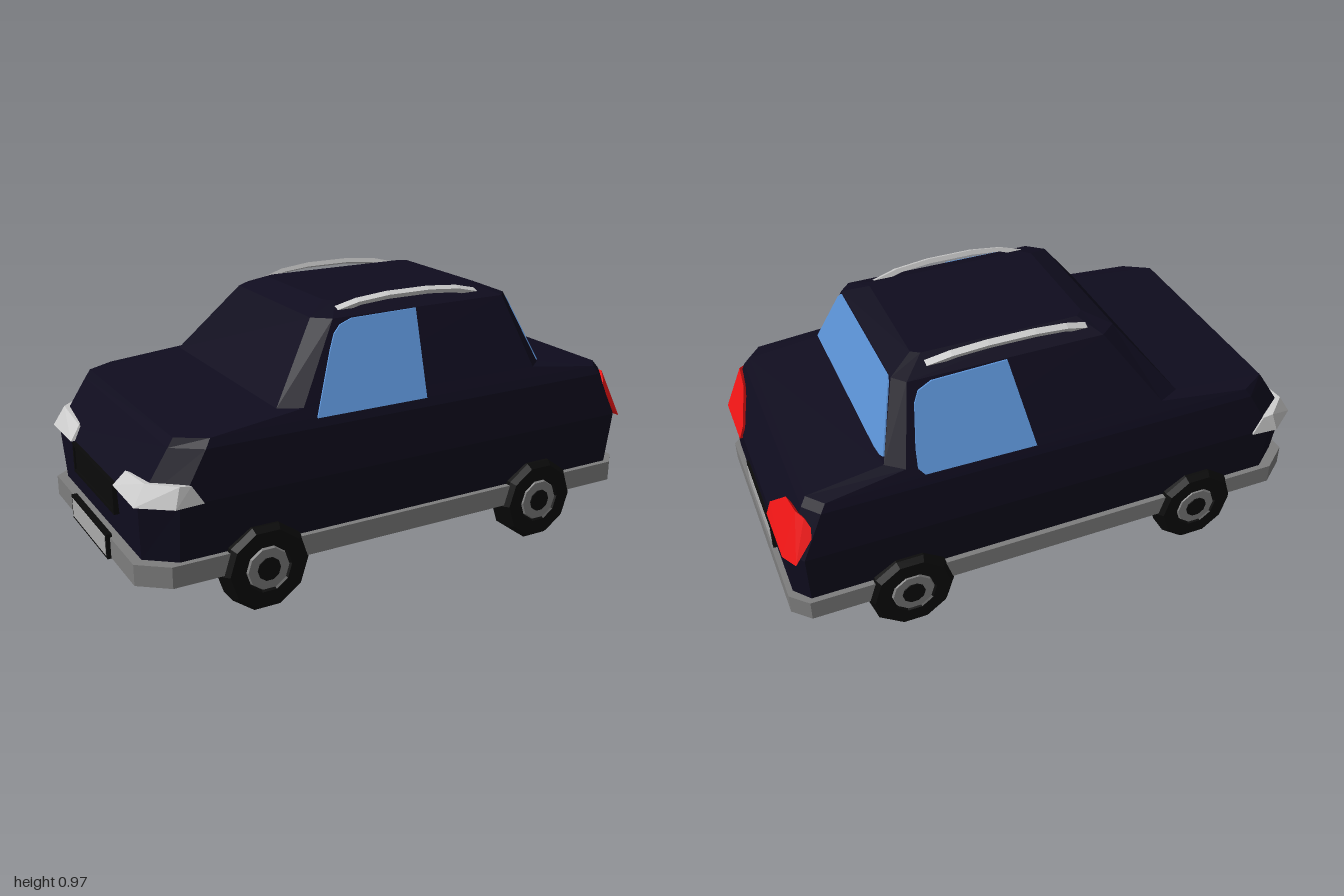
import * as THREE from 'three';
import { ConvexGeometry } from 'three/addons/geometries/ConvexGeometry.js';

const paint = (color) => new THREE.MeshStandardMaterial({ color, flatShading: true });
const NAVY = paint(0x0f0c1e), TRIM = paint(0x7d7d7d), LIGHT = paint(0xcccccc), PLATE = paint(0xaaaaaa);
const BLACK = paint(0x0a0a0a), GLASS = paint(0x5b92d5), RED = paint(0xee1515);

function mesh(name, geometry, material) {
  const m = new THREE.Mesh(geometry, material);
  m.name = name;
  return m;
}

// Stack of horizontal eight-sided sections with cut corners, capped at both ends.
// Section: [y, front x, rear x, half width, front cut x, front cut z, rear cut x, rear cut z]
function loft(sections) {
  const pos = [], index = [], n = 8;
  for (const [y, f, r, w, fx, fz, rx, rz] of sections) {
    const plan = [[r, w - rz], [r, rz - w], [r - rx, -w], [f + fx, -w],
      [f, fz - w], [f, w - fz], [f + fx, w], [r - rx, w]];
    for (const [x, z] of plan) pos.push(x, y, z);
  }
  const last = (sections.length - 1) * n;
  for (let s = 0; s < last; s += n) {
    for (let i = 0; i < n; i++) {
      const a = s + i, b = s + (i + 1) % n;
      index.push(a, b, b + n, a, b + n, a + n);
    }
  }
  for (let i = 1; i < n - 1; i++) index.push(0, i + 1, i, last, last + i, last + i + 1);
  const g = new THREE.BufferGeometry();
  g.setAttribute('position', new THREE.Float32BufferAttribute(pos, 3));
  g.setIndex(index);
  const flat = g.toNonIndexed();
  flat.computeVertexNormals();
  return flat;
}

// Convex solid spanned by a list of corners; side mirrors it in z
const solid = (points, side = 1) =>
  new ConvexGeometry(points.map(([x, y, z]) => new THREE.Vector3(x, y, z * side)));

// Thin pane: outer corners plus the same corners pushed inwards
const pane = (points, dx, dz, side) =>
  solid([...points, ...points.map(([x, y, z]) => [x + dx, y, z + dz])], side);

const box = (w, h, d, x, y, z) => new THREE.BoxGeometry(w, h, d).translate(x, y, z);

function wheel() {
  const g = new THREE.Group();
  g.name = 'wheel';
  const turn = (geo) => geo.rotateY(Math.PI / 10).rotateX(Math.PI / 2);
  const profile = [[0, -0.05], [0.14, -0.05], [0.157, -0.035], [0.157, 0.035], [0.14, 0.055],
    [0.085, 0.055], [0.078, 0.042], [0, 0.042]].map(([r, y]) => new THREE.Vector2(r, y));
  g.add(mesh('tyre', turn(new THREE.LatheGeometry(profile, 10)), BLACK));
  g.add(mesh('rim', turn(new THREE.CylinderGeometry(0.075, 0.082, 0.02, 10).translate(0, 0.044, 0)), TRIM));
  g.add(mesh('hubCap', turn(new THREE.CylinderGeometry(0.042, 0.042, 0.02, 10).translate(0, 0.048, 0)), BLACK));
  return g;
}

function roofRail() {
  const s = new THREE.Shape();
  const outer = [[-0.17, 0], [-0.09, 0.024], [0.03, 0.037], [0.2, 0.037], [0.33, 0.024], [0.42, 0]];
  const inner = [[0.35, 0], [0.31, 0.01], [0.2, 0.02], [0.03, 0.02], [-0.08, 0.01], [-0.11, 0]];
  [...outer, ...inner].forEach(([x, y], i) => (i ? s.lineTo(x, y) : s.moveTo(x, y)));
  const g = new THREE.ExtrudeGeometry(s, { depth: 0.025, bevelEnabled: false });
  return g.translate(0, 0, -0.0125).rotateX(0.4);
}

export function createModel() {
  const car = new THREE.Group();
  car.name = 'car';

  // Painted shell: lower body, hood and trunk, then cabin and roof
  car.add(mesh('body', loft([
    [0.155, -0.94, 0.975, 0.475, 0.1, 0.08, 0.05, 0.06],
    [0.23, -0.95, 0.978, 0.482, 0.1, 0.08, 0.05, 0.06],
    [0.43, -0.96, 0.985, 0.505, 0.11, 0.08, 0.05, 0.06],
    [0.6, -0.85, 0.91, 0.492, 0.1, 0.07, 0.05, 0.06],
    [0.63, -0.83, 0.89, 0.48, 0.1, 0.06, 0.05, 0.06],
    [0.665, -0.47, 0.62, 0.462, 0.08, 0.04, 0.06, 0.05],
    [0.915, -0.27, 0.54, 0.335, 0.06, 0.05, 0.04, 0.045],
    [0.952, -0.18, 0.45, 0.245, 0.03, 0.03, 0.03, 0.02],
  ]), NAVY));

  // Bumper band running all around
  car.add(mesh('bumperBand', loft([
    [0.155, -0.985, 0.998, 0.503, 0.1, 0.08, 0.06, 0.06],
    [0.23, -0.985, 0.998, 0.503, 0.1, 0.08, 0.06, 0.06],
  ]), TRIM));
  car.add(mesh('underside', box(1.7, 0.02, 0.85, 0, 0.158, 0), BLACK));

  // Side windows, following the lean of the cabin
  const lean = (pts) => pts.map(([x, y]) => [x, y, 0.462 - (y - 0.665) * 0.508 + 0.006]);
  car.add(mesh('leftWindow', pane(lean([[-0.35, 0.63], [-0.25, 0.82], [-0.22, 0.87], [-0.19, 0.895],
    [-0.14, 0.91], [0.12, 0.914], [0.08, 0.63]]), 0, -0.02, 1), GLASS));
  car.add(mesh('rightWindow', pane(lean([[0.1, 0.635], [0.5, 0.638], [0.52, 0.66], [0.515, 0.72],
    [0.49, 0.85], [0.47, 0.885], [0.42, 0.905], [0.15, 0.912]]), 0, -0.02, -1), GLASS));

  // Rear window
  const rear = [[0.41, 0.67], [0.3, 0.89], [0.28, 0.91], [-0.27, 0.912], [-0.29, 0.895],
    [-0.4, 0.69], [-0.37, 0.677], [-0.31, 0.67]];
  car.add(mesh('rearWindow', pane(rear.map(([z, y]) => [0.625 - (y - 0.665) * 0.32, y, z]), -0.02, 0, 1), GLASS));

  for (const side of [1, -1]) {
    // Headlight wrapped around the front corner
    car.add(mesh('headlight', solid([
      [-0.975, 0.43, 0.23], [-0.978, 0.43, 0.44], [-0.87, 0.43, 0.522], [-0.77, 0.43, 0.515],
      [-0.935, 0.48, 0.25], [-0.935, 0.5, 0.43], [-0.85, 0.5, 0.51], [-0.81, 0.495, 0.51],
      [-0.8, 0.43, 0.45], [-0.9, 0.43, 0.23],
    ], side), LIGHT));

    // Tail light wrapped around the rear corner
    car.add(mesh('tailLight', solid([
      [0.997, 0.42, 0.22], [0.979, 0.47, 0.22], [0.938, 0.57, 0.33], [0.93, 0.588, 0.43],
      [0.997, 0.42, 0.445], [0.965, 0.42, 0.505], [0.887, 0.53, 0.495], [0.91, 0.575, 0.46],
      [0.93, 0.42, 0.23], [0.88, 0.52, 0.44],
    ], side), RED));

    // Roof rail leaning outwards
    const rail = mesh('roofRail', roofRail(), LIGHT);
    rail.position.set(0, 0.935, 0.285 * side);
    if (side < 0) rail.scale.z = -1;
    car.add(rail);

    // Wheels
    for (const x of [-0.555, 0.58]) {
      const w = wheel();
      w.position.set(x, 0.15, 0.465 * side);
      if (side < 0) w.rotation.y = Math.PI;
      car.add(w);
    }
  }

  // Grille between the headlights
  car.add(mesh('grille', box(0.03, 0.11, 0.42, -0.953, 0.375, 0), BLACK));
  for (const y of [0.325, 0.425]) car.add(mesh('grilleFrame', box(0.035, 0.012, 0.44, -0.956, y, 0), BLACK));
  for (const z of [-0.214, 0.214]) car.add(mesh('grilleFrame', box(0.035, 0.1, 0.012, -0.956, 0.375, z), BLACK));

  // Number plates with dark frames
  car.add(mesh('frontPlateFrame', box(0.02, 0.09, 0.39, -0.988, 0.197, 0), BLACK));
  car.add(mesh('frontPlate', box(0.01, 0.07, 0.365, -0.995, 0.197, 0), PLATE));
  car.add(mesh('rearPlateFrame', box(0.02, 0.11, 0.39, 0.981, 0.275, 0), BLACK));
  car.add(mesh('rearPlate', box(0.01, 0.07, 0.365, 0.988, 0.28, 0), PLATE));

  return car;
}
